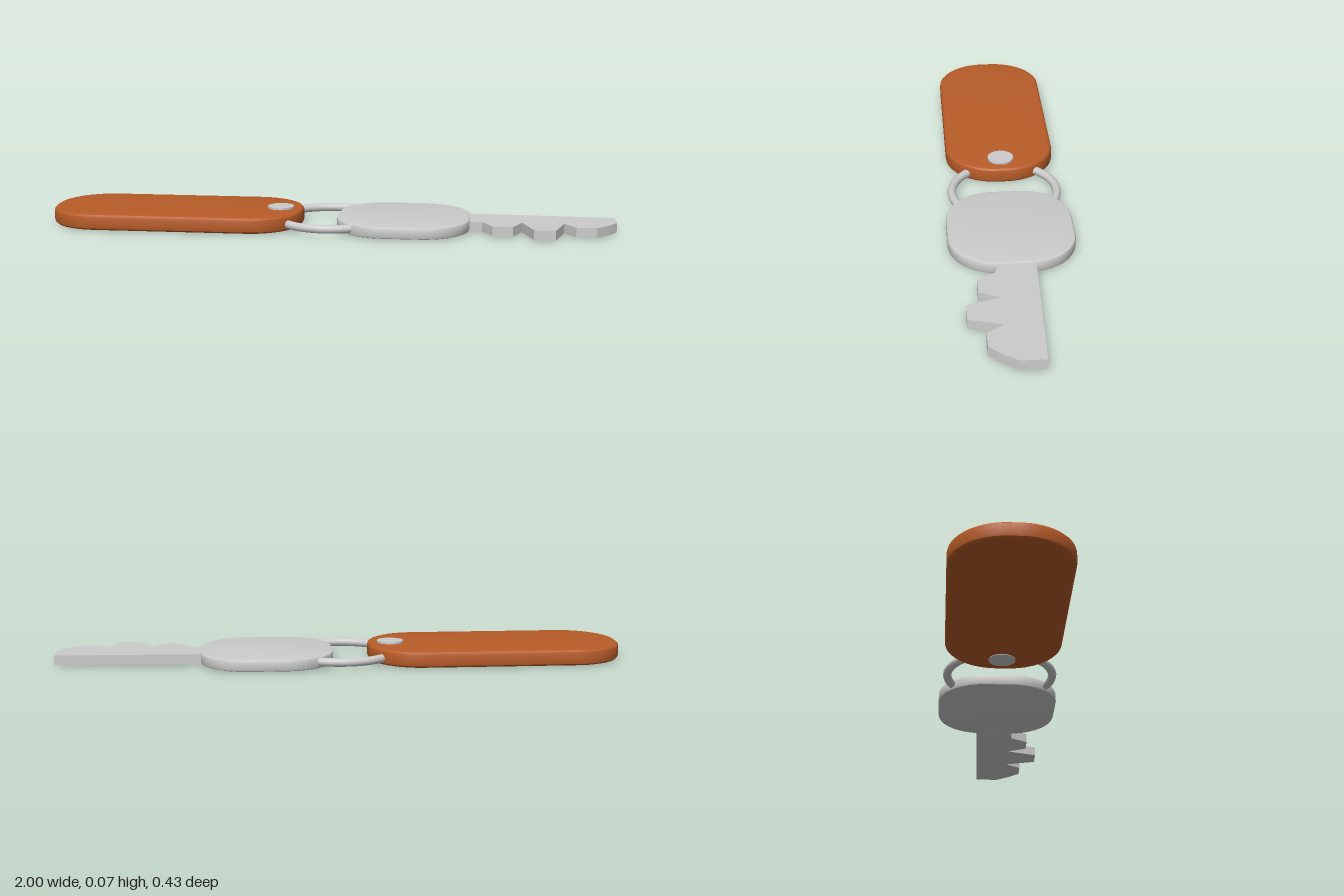
import * as THREE from 'three';
import { toCreasedNormals } from 'three/addons/utils/BufferGeometryUtils.js';

const metal = new THREE.MeshStandardMaterial({ color: 0xcccccc });
const leather = new THREE.MeshStandardMaterial({ color: 0xb85c28 });

// Rounded rectangle in plan (x, z), inset by the bevel that will be added back
function roundedPlan(cx, width, depth, radius, inset) {
  const hw = width / 2 - inset, hd = depth / 2 - inset, r = radius - inset;
  const s = new THREE.Shape();
  s.absarc(cx + hw - r, hd - r, r, 0, Math.PI / 2);
  s.absarc(cx - hw + r, hd - r, r, Math.PI / 2, Math.PI);
  s.absarc(cx - hw + r, -hd + r, r, Math.PI, Math.PI * 1.5);
  s.absarc(cx + hw - r, -hd + r, r, Math.PI * 1.5, Math.PI * 2);
  s.closePath();
  return s;
}

// Flat plate lying between two heights, with an optional bevel
function plate(name, shape, bottom, top, bevel, segments, material) {
  const geo = new THREE.ExtrudeGeometry(shape, {
    depth: top - bottom - 2 * bevel,
    bevelEnabled: bevel > 0,
    bevelSize: bevel,
    bevelThickness: bevel,
    bevelSegments: segments,
    curveSegments: 12,
  });
  geo.rotateX(Math.PI / 2).translate(0, top - bevel, 0);
  const mesh = new THREE.Mesh(toCreasedNormals(geo, 0.5), material);
  mesh.name = name;
  return mesh;
}

export function createModel() {
  const model = new THREE.Group();
  model.name = 'keyWithFob';

  // Fob with softened edges
  model.add(plate('fob', roundedPlan(-0.55, 0.9, 0.395, 0.18, 0.014), 0.002, 0.059, 0.014, 3, leather));

  // Rivet passing through the fob
  const rivet = new THREE.Mesh(new THREE.CylinderGeometry(0.047, 0.047, 0.066, 24), metal);
  rivet.name = 'rivet';
  rivet.position.set(-0.18, 0.033, 0);
  model.add(rivet);

  // Split ring joining fob and key
  const ring = new THREE.Mesh(new THREE.TorusGeometry(0.187, 0.015, 12, 48), metal);
  ring.name = 'ring';
  ring.rotation.x = Math.PI / 2;
  ring.position.y = 0.026;
  model.add(ring);

  // Key: bow and toothed blade
  const key = new THREE.Group();
  key.name = 'key';
  key.add(plate('bow', roundedPlan(0.26, 0.465, 0.432, 0.17, 0.008), 0.003, 0.044, 0.008, 2, metal));

  const outline = [
    [0.4, -0.07], [1, -0.052], [1, 0.03], [0.965, 0.08], [0.925, 0.12], [0.856, 0.12],
    [0.818, 0.063], [0.785, 0.175], [0.711, 0.175], [0.674, 0.063], [0.642, 0.132],
    [0.572, 0.132], [0.535, 0.07], [0.49, 0.06], [0.4, 0.06],
  ].map(([x, z]) => new THREE.Vector2(x, z));
  key.add(plate('blade', new THREE.Shape(outline), 0.005, 0.039, 0, 1, metal));
  model.add(key);

  return model;
}
